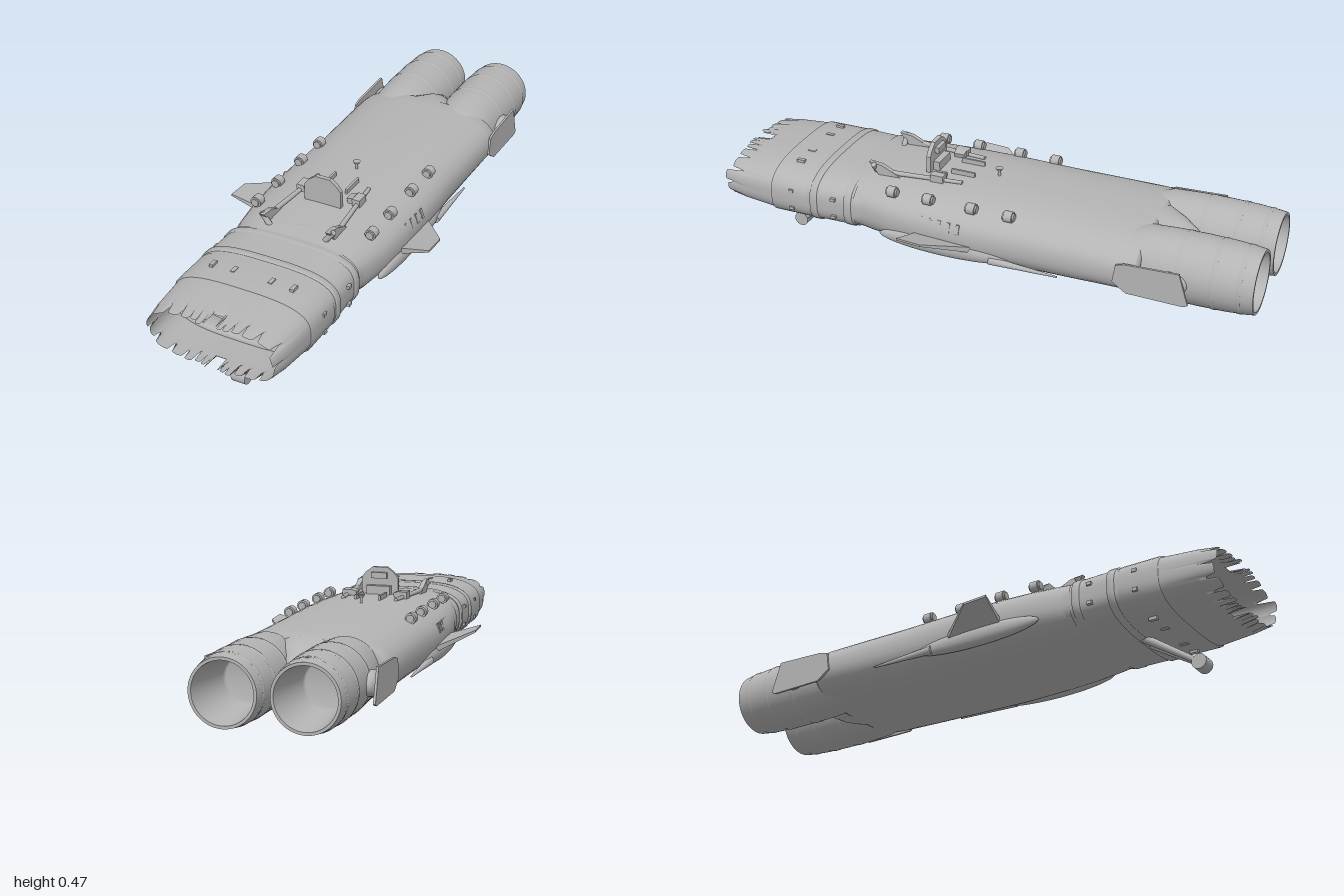
import * as THREE from 'three';

const grey = new THREE.MeshStandardMaterial({ color: 0xb4b4b4, side: THREE.DoubleSide });
grey.name = 'hull grey';

const mesh = (name, geo, pos = [0, 0, 0], rot = [0, 0, 0]) => {
  const m = new THREE.Mesh(geo, grey);
  m.name = name;
  m.position.set(...pos);
  m.rotation.set(...rot);
  return m;
};
const box = (name, size, pos, rot) => mesh(name, new THREE.BoxGeometry(...size), pos, rot);

// Loft of rounded sections [z, halfWidth, top, bottom, squareness]; dz shifts the station at z = 1
function loft(stations, n = 96, dz = () => 0) {
  const pos = [], idx = [];
  stations.forEach(([z, w, top, bot, e]) => {
    const h = (top - bot) / 2, cy = (top + bot) / 2;
    for (let j = 0; j < n; j++) {
      const t = (j / n) * Math.PI * 2, c = Math.cos(t), s = Math.sin(t);
      const r = (Math.abs(c / w) ** e + Math.abs(s / h) ** e) ** (-1 / e);
      pos.push(c * r, cy + s * r, z === 1 ? z - dz(t, c * r) : z);
    }
  });
  for (let i = 0; i < stations.length - 1; i++)
    for (let j = 0; j < n; j++) {
      const a = i * n + j, b = i * n + (j + 1) % n;
      idx.push(a, a + n, b, b, a + n, b + n);
    }
  const g = new THREE.BufferGeometry();
  g.setAttribute('position', new THREE.Float32BufferAttribute(pos, 3));
  g.setIndex(idx);
  g.computeVertexNormals();
  return g;
}

// Flat plate from [a, b] points, extruded by depth about its middle plane
function plate(points, depth) {
  const s = new THREE.Shape(points.map(p => new THREE.Vector2(...p)));
  return new THREE.ExtrudeGeometry(s, { depth, bevelEnabled: false }).translate(0, 0, -depth / 2);
}

// Tapered rod between two points
function rod(name, a, b, r1, r2 = r1) {
  const A = new THREE.Vector3(...a), B = new THREE.Vector3(...b), d = B.clone().sub(A);
  const m = mesh(name, new THREE.CylinderGeometry(r2, r1, d.length(), 16));
  m.position.copy(A).add(B).multiplyScalar(0.5);
  m.quaternion.setFromUnitVectors(new THREE.Vector3(0, 1, 0), d.normalize());
  return m;
}

// Torn edge of the intake: narrow slits between uneven petals, notch on the centre line
function tornEdge(t, x) {
  if (Math.abs(x) < 0.02) return 0.07;
  const k = t * 30 / (Math.PI * 2), u = k - Math.floor(k);
  const rnd = Math.abs(Math.sin(Math.floor(k) * 12.9898) * 43.758) % 1;
  return u < 0.16 ? 0.03 + 0.035 * rnd : 0.02 * rnd + 0.03 * (u - 0.55) ** 2;
}

function hull(g) {
  g.add(mesh('mainHull', loft([
    [0.47, 0.243, 0.362, 0.152, 2.9], [0.44, 0.245, 0.366, 0.149, 2.8], [0.4, 0.256, 0.369, 0.146, 2.7],
    [0.3, 0.272, 0.373, 0.14, 2.6], [0.18, 0.282, 0.377, 0.134, 2.5], [0, 0.284, 0.379, 0.13, 2.5],
    [-0.2, 0.277, 0.379, 0.131, 2.5], [-0.4, 0.28, 0.376, 0.137, 2.5], [-0.55, 0.284, 0.372, 0.144, 2.5],
    [-0.6, 0.28, 0.369, 0.147, 2.5], [-0.615, 0.262, 0.36, 0.155, 2.5], [-0.62, 0.02, 0.27, 0.25, 2]])));
  // tail fairing narrowing between the engines
  g.add(mesh('tailFairing', loft([
    [-0.56, 0.17, 0.372, 0.144, 2.6], [-0.62, 0.125, 0.368, 0.148, 2.4], [-0.68, 0.08, 0.352, 0.164, 2.2],
    [-0.73, 0.042, 0.326, 0.19, 2], [-0.78, 0.004, 0.28, 0.236, 2]], 64)));
  // intake skin and lining share the torn edge
  g.add(mesh('intakeSkin', loft([
    [1, 0.232, 0.343, 0.176, 3], [0.92, 0.243, 0.351, 0.167, 3], [0.8, 0.252, 0.359, 0.157, 3],
    [0.63, 0.255, 0.364, 0.152, 3], [0.46, 0.25, 0.363, 0.152, 3]], 300, tornEdge)));
  g.add(mesh('intakeLining', loft([
    [0.3, 0.25, 0.355, 0.158, 2.8], [0.6, 0.245, 0.355, 0.16, 3], [0.8, 0.241, 0.35, 0.166, 3],
    [0.92, 0.238, 0.347, 0.171, 3], [1, 0.231, 0.342, 0.177, 3]], 300, tornEdge)));
  g.add(mesh('intakeBulkhead', loft([[0.3, 0.005, 0.26, 0.25, 2], [0.301, 0.25, 0.355, 0.158, 2.8]])));
  g.add(mesh('intakeFrame', loft([
    [0.76, 0.25, 0.356, 0.16, 3], [0.76, 0.218, 0.335, 0.182, 3],
    [0.82, 0.218, 0.335, 0.182, 3], [0.82, 0.248, 0.354, 0.162, 3]])));
  // raised collars around the nose
  for (const [z, len, k] of [[0.485, 0.03, 0.002], [0.62, 0.03, 0.005], [0.72, 0.15, 0.002]]) {
    const f = z + len / 2, b = z - len / 2, w = 0.255, y1 = 0.363, y0 = 0.153;
    g.add(mesh('noseCollar', loft([
      [f, w - 0.004, y1 - 0.004, y0 + 0.004, 3], [f - 0.003, w + k, y1 + k, y0 - k, 3],
      [b + 0.003, w + k, y1 + k, y0 - k, 3], [b, w - 0.004, y1 - 0.004, y0 + 0.004, 3]])));
  }
}

function intakeInterior(g) {
  g.add(mesh('centreCone', new THREE.SphereGeometry(0.07, 32, 20), [0, 0.3, 0.4]));
  g.add(mesh('centreHub', new THREE.CylinderGeometry(0.012, 0.03, 0.12, 20), [0, 0.253, 0.5], [Math.PI / 2, 0, 0]));
  for (const s of [-1, 1]) {
    const pod = new THREE.Group();
    pod.name = 'innerTurbine';
    pod.position.set(s * 0.13, 0.206, 0.42);
    pod.scale.set(1.35, 1, 1);
    pod.add(mesh('turbineBody', new THREE.CylinderGeometry(0.033, 0.036, 0.24, 28), [0, 0, -0.02], [Math.PI / 2, 0, 0]));
    pod.add(mesh('turbineRing', new THREE.TorusGeometry(0.028, 0.008, 10, 28), [0, 0, 0.1]));
    pod.add(mesh('turbineCone', new THREE.ConeGeometry(0.018, 0.04, 20), [0, 0, 0.12], [Math.PI / 2, 0, 0]));
    g.add(pod);
    g.add(rod('crossStrut', [0, 0.25, 0.5], [s * 0.215, 0.272, 0.5], 0.007));
    g.add(rod('lowerStrut', [0, 0.25, 0.5], [s * 0.06, 0.17, 0.5], 0.009));
    g.add(rod('upperStrut', [s * 0.06, 0.265, 0.5], [s * 0.11, 0.35, 0.46], 0.01));
  }
}

function engine(s) {
  const g = new THREE.Group();
  g.name = 'engine';
  g.position.set(s * 0.133, 0.258, 0);
  const turn = (name, pts) => g.add(mesh(name,
    new THREE.LatheGeometry(pts.map(p => new THREE.Vector2(...p)), 56), [0, 0, 0], [Math.PI / 2, 0, 0]));
  turn('engineCasing', [[0.112, -1], [0.116, -0.97], [0.121, -0.9], [0.123, -0.8], [0.122, -0.7], [0.117, -0.6], [0.1, -0.54]]);
  turn('nozzleLip', [[0.102, -1], [0.112, -1]]);
  turn('nozzleLining', [[0, -0.78], [0.075, -0.78], [0.078, -0.8], [0.102, -1]]);
  for (const [z, r] of [[-0.95, 0.119], [-0.86, 0.1235], [-0.74, 0.124]])
    turn('engineBand', [[r - 0.004, z - 0.008], [r, z - 0.006], [r, z + 0.006], [r - 0.004, z + 0.008]]);
  return g;
}

// Everything on one flank; s = 1 is the left side
function flank(g, s) {
  g.add(engine(s));
  // swept wing: root and tip outlines [x, y, z]
  const q = [[0.25, 0.225, 0.2], [0.39, 0.277, 0.22], [0.39, 0.272, 0.13], [0.25, 0.215, -0.05]];
  const verts = [0.013, -0.013].flatMap(d => q.flatMap(([x, y, z]) => [s * x, y + d * (x > 0.3 ? 0.3 : 1), z]));
  const tri = [0, 1, 2, 0, 2, 3, 4, 6, 5, 4, 7, 6];
  for (let i = 0; i < 4; i++) { const j = (i + 1) % 4; tri.push(i, i + 4, j, j, i + 4, j + 4); }
  if (s < 0) tri.reverse();
  const wing = new THREE.BufferGeometry();
  wing.setAttribute('position', new THREE.Float32BufferAttribute(verts, 3));
  wing.setIndex(tri);
  const flat = wing.toNonIndexed();
  flat.computeVertexNormals();
  g.add(mesh('wing', flat));
  // wing root blister and trailing spike
  const blister = mesh('wingBlister', new THREE.SphereGeometry(1, 32, 20), [s * 0.265, 0.208, 0.1]);
  blister.scale.set(0.026, 0.036, 0.25);
  g.add(blister, rod('trailingSpike', [s * 0.276, 0.2, -0.08], [s * 0.277, 0.195, -0.33], 0.015, 0.003));
  // rear stabiliser plate on a round boss
  g.add(mesh('stabiliser', plate([[0.54, 0.3], [0.57, 0.31], [0.76, 0.317], [0.795, 0.205], [0.78, 0.197], [0.58, 0.2], [0.53, 0.235]], 0.008),
    [s * 0.285, 0, 0], [0, Math.PI / 2, 0]));
  const boss = mesh('stabiliserBoss', new THREE.SphereGeometry(1, 24, 16), [s * 0.255, 0.255, -0.72]);
  boss.scale.set(0.03, 0.042, 0.06);
  g.add(boss);
  // shoulder thrusters
  for (const z of [-0.13, 0.01, 0.175, 0.315]) {
    g.add(mesh('shoulderThruster', new THREE.CylinderGeometry(0.02, 0.02, 0.03, 20), [s * 0.222, 0.357, z], [Math.PI / 2, 0, 0]));
    g.add(mesh('thrusterCap', new THREE.CylinderGeometry(0.014, 0.014, 0.042, 20), [s * 0.222, 0.357, z], [Math.PI / 2, 0, 0]));
  }
  // side vents
  for (let i = 0; i < 5; i++)
    g.add(box('sideVent', [0.012, 0.035, 0.012], [s * (0.266 + 0.002 * (4 - i)), 0.293, 0.04 + i * 0.036], [0, 0, s * 0.35]));
  // nose rivets
  for (const z of [0.54, 0.71])
    for (const y of [0.22, 0.29]) g.add(box('noseRivet', [0.012, 0.012, 0.018], [s * 0.253, y, z]));
  for (const x of [0.07, 0.15])
    for (const y of [0.155, 0.361]) g.add(box('noseLatch', [0.014, 0.012, 0.03], [s * x, y, 0.72]));
  // canopy side lever with upright blade
  g.add(mesh('leverBlade', plate([[-0.45, 0.405], [-0.4, 0.4], [-0.34, 0.372], [-0.3, 0.345], [-0.4, 0.345]], 0.018),
    [s * 0.125, 0, 0], [0, Math.PI / 2, 0]));
  g.children.at(-1).rotation.z = 0;
  g.add(rod('leverArm', [s * 0.125, 0.375, 0.36], [s * 0.1, 0.378, 0.1], 0.009, 0.007));
  g.add(rod('bladeBrace', [s * 0.085, 0.33, 0.43], [s * 0.138, 0.4, 0.43], 0.01));
  g.add(box('leverBlock', [0.03, 0.03, 0.05], [s * 0.108, 0.382, 0.19]));
  g.add(box('leverFoot', [0.025, 0.02, 0.04], [s * 0.085, 0.385, 0.19], [0, 0, s * 0.3]));
  g.add(box('seatRail', [0.008, 0.025, 0.09], [s * 0.045, 0.382, 0.12]));
  // landing strut
  g.add(rod('gearStrut', [s * 0.034, 0.2, 0.56], [s * 0.014, 0.03, 0.81], 0.017, 0.01));
}

export function createModel() {
  const g = new THREE.Group();
  g.name = 'spacecraft';
  hull(g);
  intakeInterior(g);
  for (const s of [1, -1]) flank(g, s);
  g.add(mesh('gearRoller', new THREE.CylinderGeometry(0.027, 0.027, 0.052, 28), [0, 0.027, 0.815], [0, 0, Math.PI / 2]));
  // seat back, base and headrest
  g.add(mesh('seatBack', plate([[-0.07, 0.36], [0.07, 0.36], [0.07, 0.435], [0.055, 0.455], [0.028, 0.475], [-0.028, 0.475], [-0.055, 0.455], [-0.07, 0.435]], 0.016), [0, 0, 0.245]));
  g.add(box('seatCushion', [0.09, 0.035, 0.03], [0, 0.39, 0.228]));
  g.add(box('headrest', [0.06, 0.022, 0.02], [0, 0.445, 0.232]));
  // dorsal mast
  g.add(mesh('mastStem', new THREE.CylinderGeometry(0.005, 0.005, 0.03, 12), [0, 0.388, 0]));
  g.add(mesh('mastCap', new THREE.CylinderGeometry(0.014, 0.008, 0.01, 20), [0, 0.404, 0]));
  return g;
}
